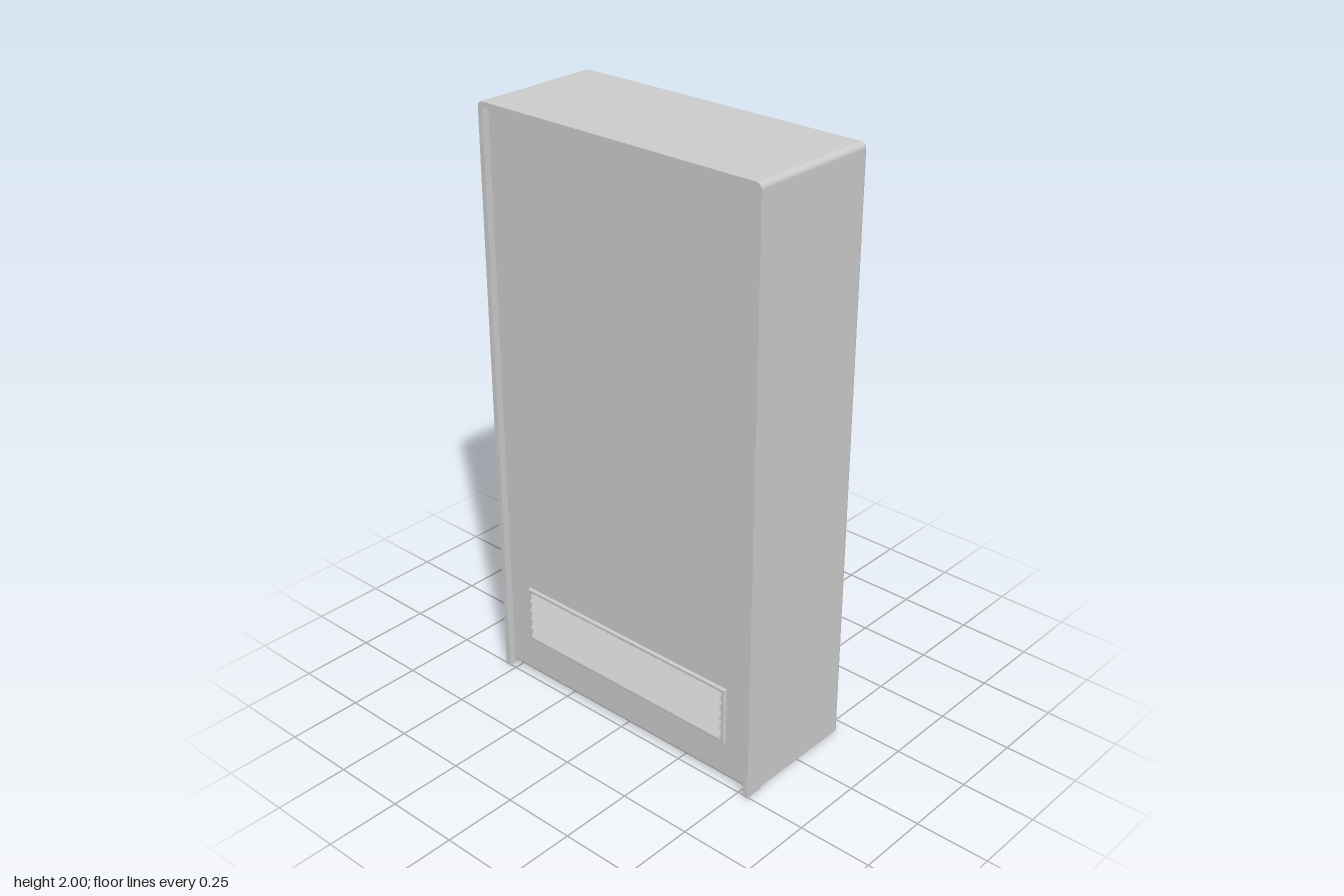
import * as THREE from 'three';

const paint = new THREE.MeshStandardMaterial({ color: 0xcccccc });
paint.name = 'grey paint';

function add(parent, name, geometry, x = 0, y = 0, z = 0) {
  const mesh = new THREE.Mesh(geometry, paint);
  mesh.name = name;
  mesh.position.set(x, y, z);
  parent.add(mesh);
  return mesh;
}

// Upright rectangle in (z, y), with optional rounded top corners
function rect(z0, z1, y0, y1, r = 0, Type = THREE.Shape) {
  const s = new Type();
  s.moveTo(z0, y0);
  s.lineTo(z1, y0);
  s.lineTo(z1, y1 - r);
  if (r) s.absarc(z1 - r, y1 - r, r, 0, Math.PI / 2, false);
  s.lineTo(z0 + r, y1);
  if (r) s.absarc(z0 + r, y1 - r, r, Math.PI / 2, Math.PI, false);
  s.closePath();
  return s;
}

// Extrude a (z, y) outline along x, with bevelled ends kept inside the outline
function slab(shape, x0, x1, bevel = 0) {
  const g = new THREE.ExtrudeGeometry(shape, {
    depth: x1 - x0 - 2 * bevel, curveSegments: 6,
    bevelEnabled: bevel > 0, bevelThickness: bevel, bevelSize: bevel,
    bevelOffset: -bevel, bevelSegments: bevel > 0.01 ? 6 : 3,
  });
  g.rotateY(Math.PI / 2);
  g.translate(x0 + bevel, 0, 0);
  return g;
}

export function createModel() {
  const cabinet = new THREE.Group();
  cabinet.name = 'cabinet';

  // Carcass with softened front edges
  add(cabinet, 'carcass', slab(rect(-0.54, 0.54, 0.008, 2, 0.018), -0.23, 0.206, 0.016));

  // Rim around the recessed back, open at the bottom
  const rim = new THREE.Shape();
  rim.moveTo(-0.54, 0);
  rim.lineTo(-0.522, 0);
  rim.lineTo(-0.522, 1.98);
  rim.lineTo(0.522, 1.98);
  rim.lineTo(0.522, 0);
  rim.lineTo(0.54, 0);
  rim.lineTo(0.54, 1.982);
  rim.absarc(0.522, 1.982, 0.018, 0, Math.PI / 2, false);
  rim.lineTo(-0.522, 2);
  rim.absarc(-0.522, 1.982, 0.018, Math.PI / 2, Math.PI, false);
  rim.closePath();
  add(cabinet, 'backRim', slab(rim, -0.255, -0.19));

  // Louvred vent low on the back
  const vent = new THREE.Group();
  vent.name = 'vent';
  cabinet.add(vent);
  const ventFrame = rect(-0.43, 0.43, 0.145, 0.345);
  ventFrame.holes.push(rect(-0.415, 0.415, 0.158, 0.332, 0, THREE.Path));
  add(vent, 'ventFrame', slab(ventFrame, -0.24, -0.225, 0.004));
  for (let i = 0; i < 5; i++) {
    const slat = add(vent, 'ventSlat', new THREE.BoxGeometry(0.012, 0.032, 0.83), -0.236, 0.176 + i * 0.0345, 0);
    slat.rotation.z = -0.55;
  }

  for (const side of [1, -1]) {
    const doors = new THREE.Group();
    doors.name = side > 0 ? 'frontDoors' : 'rearDoors';
    cabinet.add(doors);
    // The extrusion helper turns shape +x towards -z
    const span = (a, b, y0, y1, Type) => rect(Math.min(-side * a, -side * b), Math.max(-side * a, -side * b), y0, y1, 0, Type);

    // Upper door frame around a recessed panel
    const upper = span(0.003, 0.503, 0.86, 1.965);
    upper.holes.push(span(0.062, 0.448, 0.913, 1.89, THREE.Path));
    add(doors, 'upperDoor', slab(upper, 0.2, 0.212, 0.004));

    // Lower plain door
    add(doors, 'lowerDoor', slab(span(0.003, 0.503, 0.09, 0.82), 0.2, 0.212, 0.004));

    // Hinges
    for (const y of [1.825, 0.975, 0.692, 0.215]) {
      add(doors, 'hinge', new THREE.CylinderGeometry(0.008, 0.008, 0.072, 12), 0.212, y, side * 0.506);
      add(doors, 'hingeLeaf', new THREE.BoxGeometry(0.006, 0.07, 0.016), 0.211, y, side * 0.498);
    }

    // Bow handle on the lower door
    const z = side * 0.048;
    const path = new THREE.CatmullRomCurve3([
      [0.208, 0.722], [0.232, 0.722], [0.245, 0.714], [0.249, 0.69],
      [0.249, 0.61], [0.245, 0.588], [0.232, 0.58], [0.208, 0.58],
    ].map(([x, y]) => new THREE.Vector3(x, y, z)));
    add(doors, 'handle', new THREE.TubeGeometry(path, 40, 0.007, 10));
    for (const y of [0.722, 0.58]) {
      const foot = add(doors, 'handleFoot', new THREE.CylinderGeometry(0.009, 0.016, 0.014, 16), 0.218, y, z);
      foot.rotation.z = -Math.PI / 2;
    }
  }

  // Turning latch on the upper doors
  const latch = new THREE.Group();
  latch.name = 'latch';
  latch.position.set(0.211, 1.393, -0.048);
  cabinet.add(latch);
  const profile = [[0, 0], [0.015, 0], [0.014, 0.005], [0.007, 0.01], [0.006, 0.028], [0.012, 0.034], [0.012, 0.041], [0, 0.044]];
  const stem = add(latch, 'latchStem', new THREE.LatheGeometry(profile.map((p) => new THREE.Vector2(...p)), 16));
  stem.rotation.z = -Math.PI / 2;
  const lever = add(latch, 'latchLever', new THREE.CapsuleGeometry(0.006, 0.03, 4, 10), 0.036, 0, 0.021);
  lever.rotation.x = Math.PI / 2;

  return cabinet;
}
